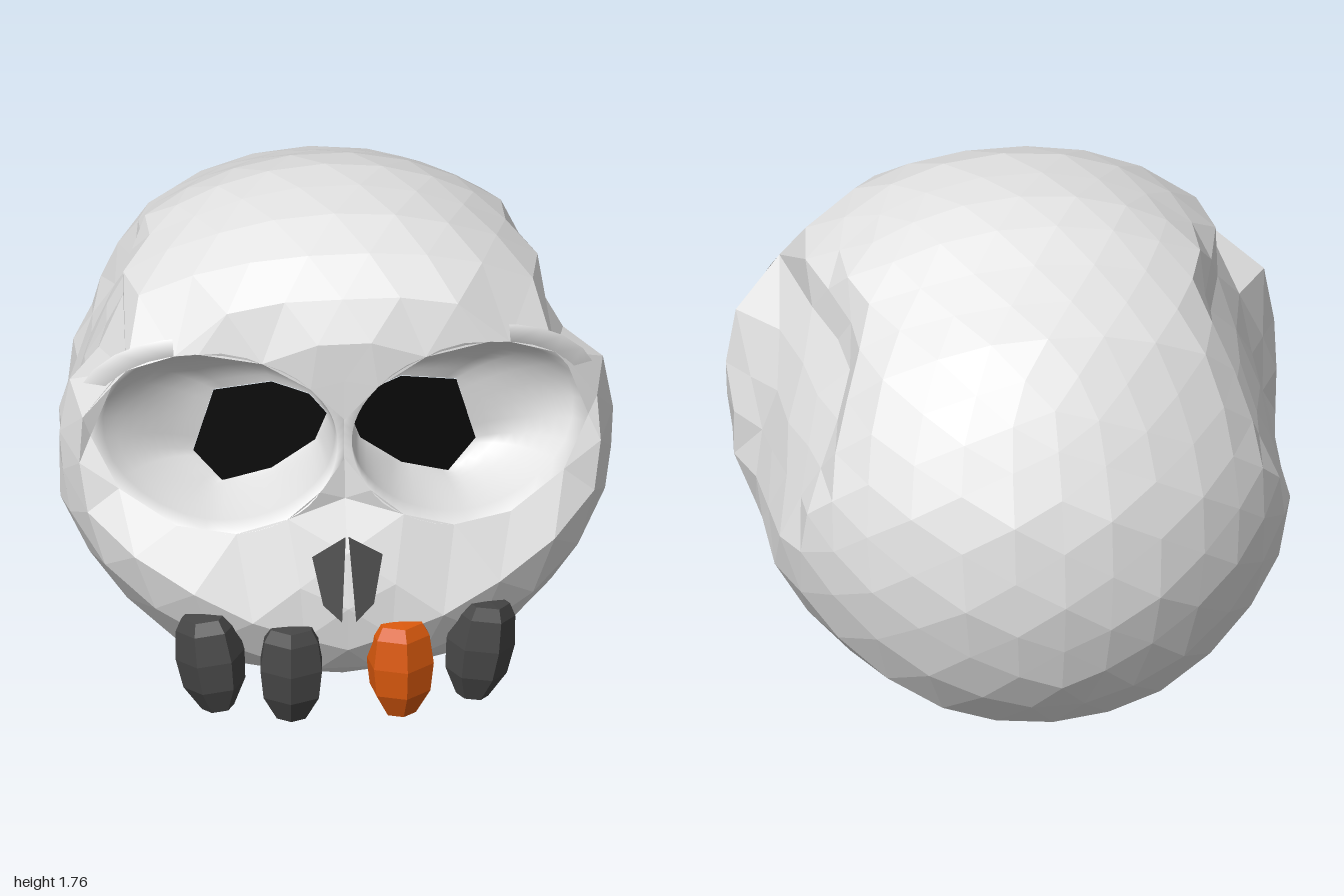
import * as THREE from 'three';
import { mergeVertices } from 'three/addons/utils/BufferGeometryUtils.js';

const paint = (name, color) => {
  const m = new THREE.MeshStandardMaterial({ color });
  m.name = name;
  return m;
};

// Side outline of the cranium as [z, y], running round from the face
const CY = 0.85;
const outline = [[0.75, 1.0], [0.74, 1.53], [0.6, 1.66], [0.45, 1.75], [0.27, 1.79], [-0.08, 1.78],
  [-0.62, 1.52], [-0.8, 1.25], [-0.95, 0.95], [-0.99, 0.6], [-0.9, 0.27], [-0.73, 0.06], [-0.5, 0.01], [0, 0.1],
  [0.4, 0.11], [0.74, 0.1], [0.88, 0.3], [0.91, 0.44], [0.85, 0.68], [0.76, 0.83]].map(([z, y]) => [z, y - CY]);
const cross = (a, b) => a[0] * b[1] - a[1] * b[0];

// Distance from the centre to the outline in a given direction
function outlineRadius(angle) {
  const d = [Math.cos(angle), Math.sin(angle)];
  for (let i = 0; i < outline.length; i++) {
    const a = outline[i], b = outline[(i + 1) % outline.length];
    if (cross(a, d) >= -1e-9 && cross(d, b) >= -1e-9) return cross(a, b) / cross(d, [b[0] - a[0], b[1] - a[1]]);
  }
  return 1;
}

// Eye socket rim: an ellipse lying on the curved face
const EYE = { x: 0.455, y: 1.07, rx: 0.43, ry: 0.34 };
const faceZ = (x, y) => 0.75 - 0.27 * x * x + 0.2 * Math.max(0, EYE.y - y);
const OUTSIDE = 0, RIM = 1, INSIDE = 2;

// Moves a sphere point onto the skull and tells where it lies against the eye rim
function shapeSkull(v) {
  const s = Math.abs(v.x), rho = Math.hypot(v.y, v.z), phi = Math.atan2(v.y, v.z), side = Math.sign(v.x);
  // Squarer cross-section at eye level
  const p = 2 + 2.5 * Math.max(0, Math.cos(phi - 0.2)) ** 6;
  const k = (s ** p + rho ** p) ** (-1 / p), r = rho * k * outlineRadius(phi);
  let x = s * k, y = CY + r * Math.sin(phi), z = r * Math.cos(phi);

  // Hollow temples, deeper towards the top
  const t = Math.hypot((z + 0.08) / 0.47, (y - 1.04) / 0.5);
  if (x > 0.4 && t < 1) x -= Math.min(1, (1 - t) * 2.5) * (0.14 + 0.14 * (y - 1.04));

  // Pull points near the eye onto its rim
  let place = OUTSIDE;
  const ex = x - EYE.x, ey = y - EYE.y, e = Math.hypot(ex / EYE.rx, ey / EYE.ry);
  if (z > 0.25 && x > 0.03 && (e < 1 || (e < 1.35 && x < 0.9))) {
    place = e < 0.7 ? INSIDE : RIM;
    x = EYE.x + ex / e;
    y = EYE.y + ey / e;
    z = faceZ(x, y);
  }
  v.set(side * x, y, z);
  return place;
}

// Faceted cranium, left open at the eyes
function skullGeometry() {
  const pos = new THREE.IcosahedronGeometry(1, 5).attributes.position;
  const kept = [];
  for (let i = 0; i < pos.count; i += 3) {
    const corners = [0, 1, 2].map((c) => {
      const v = new THREE.Vector3().fromBufferAttribute(pos, i + c);
      if (Math.abs(v.x) < 1e-5) v.x = 0;
      return { v, place: shapeSkull(v) };
    });
    const sameSide = corners.every((c) => c.v.x > 0) || corners.every((c) => c.v.x < 0);
    const covers = sameSide && corners.every((c) => c.place === RIM);
    if (!covers && corners.every((c) => c.place !== INSIDE)) corners.forEach((c) => kept.push(...c.v.toArray()));
  }
  const g = new THREE.BufferGeometry();
  g.setAttribute('position', new THREE.Float32BufferAttribute(kept, 3));
  g.computeVertexNormals(); // unshared corners keep the facets flat
  return g;
}

// Surface from points and faces, mirrored to either side
function surface(points, faces, side) {
  const g = new THREE.BufferGeometry();
  g.setAttribute('position', new THREE.Float32BufferAttribute(points.flatMap(([x, y, z]) => [x * side, y, z]), 3));
  g.setIndex(faces.flatMap(([a, b, c]) => (side > 0 ? [a, b, c] : [a, c, b])));
  g.computeVertexNormals();
  return g;
}

// Opening at the back of a socket, counter-clockwise: x, y, matching angle on the rim
const opening = [[0.5, 0.85, -25], [0.43, 1.1, 45], [0.23, 1.155, 105], [0.1, 1.12, 150],
  [0.04, 1.05, 177], [0.08, 0.94, 203], [0.23, 0.81, 235], [0.4, 0.74, 275]];
const openingZ = (x) => 0.42 - 0.3 * (x - 0.27);

// Smooth bowl from a hidden flange over the rim down to the opening
function socketGeometry(side) {
  const rings = 8, sub = 5, n = opening.length * sub, points = [], faces = [];
  for (let i = -1; i <= rings; i++) {
    const t = Math.max(0, i) / rings, depth = Math.sin(t * Math.PI / 2) ** 0.8;
    const grow = i < 0 ? 1.12 : 1, back = i < 0 ? 0.05 : 0;
    for (let j = 0; j < n; j++) {
      const m = Math.floor(j / sub), f = (j % sub) / sub;
      const a = opening[m], b = opening[(m + 1) % opening.length];
      const ix = a[0] + (b[0] - a[0]) * f, iy = a[1] + (b[1] - a[1]) * f;
      const turn = b[2] < a[2] ? 360 : 0;
      const ang = THREE.MathUtils.degToRad(a[2] + (b[2] + turn - a[2]) * f);
      const ox = EYE.x + EYE.rx * grow * Math.cos(ang), oy = EYE.y + EYE.ry * grow * Math.sin(ang);
      const oz = faceZ(ox, oy) - back;
      points.push([ox + (ix - ox) * t, oy + (iy - oy) * t, oz + (openingZ(ix) - oz) * depth]);
      if (i < rings) {
        const q = (i + 1) * n + j, r = (i + 1) * n + (j + 1) % n;
        faces.push([q, r, r + n], [q, r + n, q + n]);
      }
    }
  }
  return surface(points, faces, side);
}

function openingGeometry(side) {
  const points = opening.map(([x, y]) => [x, y, openingZ(x) + 0.004]);
  return surface(points, points.slice(2).map((_, i) => [0, i + 1, i + 2]), side);
}

// Slanted nostril beside the central ridge
function nostrilGeometry(side) {
  const points = [[0.005, 0.74], [0.025, 0.44], [0.09, 0.5], [0.125, 0.67]]
    .map(([x, y]) => [x, y, 0.845 + (0.74 - y) * 0.27 - x * 0.08]);
  return surface(points, [[0, 1, 2], [0, 2, 3]], side);
}

// Chunky faceted tooth
function toothGeometry() {
  const profile = [[0, -0.19], [0.06, -0.175], [0.115, -0.08], [0.128, 0.03], [0.112, 0.14], [0.085, 0.185], [0, 0.19]];
  const g = mergeVertices(new THREE.LatheGeometry(profile.map(([r, y]) => new THREE.Vector2(r, y)), 6)).toNonIndexed();
  g.computeVertexNormals();
  return g;
}

export function createModel() {
  const bone = paint('bone', 0xe4e4e4);
  const dark = paint('charcoal', 0x474747);
  const orange = paint('orange', 0xdc5a0e);
  const black = paint('black', 0x0a0a0a);
  const model = new THREE.Group();
  model.name = 'skull';
  const add = (name, geometry, material) => {
    const mesh = new THREE.Mesh(geometry, material);
    mesh.name = name;
    model.add(mesh);
    return mesh;
  };

  add('cranium', skullGeometry(), bone);
  for (const [side, label] of [[1, 'left'], [-1, 'right']]) {
    add(label + 'EyeSocket', socketGeometry(side), bone);
    add(label + 'EyeOpening', openingGeometry(side), black);
    add(label + 'Nostril', nostrilGeometry(side), dark);
  }

  // Four upper teeth: x, y, z, turn, lean
  const tooth = toothGeometry();
  const teeth = [['rightOuterTooth', -0.48, 0.255, 0.83, -0.5, 0.15, dark], ['rightInnerTooth', -0.2, 0.225, 0.87, -0.1, 0, dark],
    ['leftInnerTooth', 0.185, 0.225, 0.87, 0.15, 0, orange], ['leftOuterTooth', 0.47, 0.26, 0.83, 0.5, -0.18, dark]];
  for (const [name, x, y, z, turn, lean, material] of teeth) {
    const m = add(name, tooth, material);
    m.position.set(x, y, z);
    m.rotation.set(0, turn, lean);
    m.scale.set(0.98, 1, 0.9);
  }
  return model;
}
